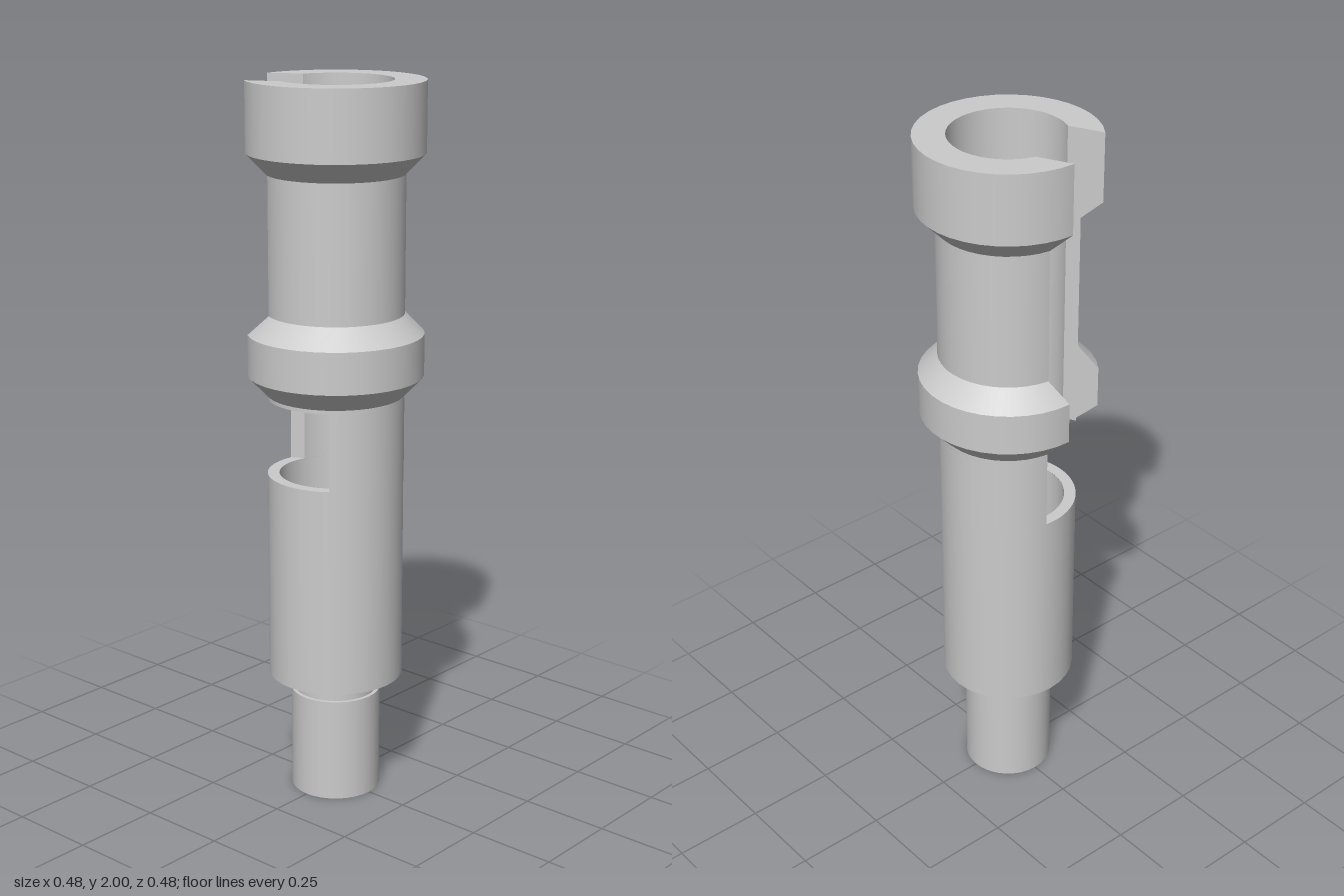
import * as THREE from 'three';
import { mergeGeometries } from 'three/addons/utils/BufferGeometryUtils.js';

const TAU = Math.PI * 2;
const BODY = 0.187, BORE = 0.155, COLLAR = 0.24, HOLE = 0.08;
const LEDGE = 0.93, CEILING = 1.145, FLOOR = 0.4;

// Angles (from +x towards +z) of the flat cut walls, as functions of radius
const SLOT = Math.atan2(0.435, -0.9);
const slotBack = r => SLOT + Math.asin(0.1 / r);
const slotFront = r => SLOT - Math.asin(0.1 / r);
const windowEnd = r => Math.acos(0.109 / r);
const turn = f => r => f(r) + TAU;

const at = (r, y, a) => [r * Math.cos(a), y, r * Math.sin(a)];

function buffer(pos, nor, index) {
  const g = new THREE.BufferGeometry();
  g.setAttribute('position', new THREE.Float32BufferAttribute(pos, 3));
  if (nor) g.setAttribute('normal', new THREE.Float32BufferAttribute(nor, 3));
  g.setIndex(index);
  if (!nor) g.computeVertexNormals();
  return g;
}

// Sweeps each profile edge between two angles; smooth around, sharp between edges
function sweep(profile, from, to, n = 32) {
  const strips = [];
  for (let k = 0; k + 1 < profile.length; k++) {
    const [p, q] = [profile[k], profile[k + 1]];
    const len = Math.hypot(q[0] - p[0], q[1] - p[1]);
    const nr = (q[1] - p[1]) / len, ny = (p[0] - q[0]) / len;
    const pos = [], nor = [], index = [];
    for (let j = 0; j <= n; j++) {
      for (const [r, y] of [p, q]) {
        const a = THREE.MathUtils.lerp(from(r), to(r), j / n);
        pos.push(...at(r, y, a));
        nor.push(...at(nr, ny, a));
      }
      const i = 2 * j;
      if (j < n) index.push(i, i + 1, i + 2, i + 1, i + 3, i + 2);
    }
    strips.push(buffer(pos, nor, index));
  }
  return mergeGeometries(strips);
}

// Flat wall with the outline of a profile, at one end of a sweep
function wall(profile, angle, flip) {
  const pos = profile.flatMap(([r, y]) => at(r, y, angle(r)));
  const outline = profile.map(p => new THREE.Vector2(...p));
  const faces = THREE.ShapeUtils.triangulateShape(outline, []);
  return buffer(pos, null, faces.flatMap(([a, b, c]) => (flip ? [a, c, b] : [a, b, c])));
}

export function createModel() {
  const group = new THREE.Group();
  const material = new THREE.MeshStandardMaterial({ color: 0xcccccc });
  const add = (name, ...parts) => {
    const mesh = new THREE.Mesh(mergeGeometries(parts), material);
    mesh.name = name;
    group.add(mesh);
  };
  const zero = () => 0, full = () => TAU;

  // Hollow stem, neck and lower sleeve
  add('stem', sweep([[HOLE, 0], [0.125, 0], [0.125, 0.295], [0.115, 0.295], [0.115, 0.345]], zero, full));
  add('lowerSleeve', sweep([[0.115, 0.345], [BODY, 0.345], [BODY, LEDGE]], zero, full));
  add('bore', sweep([[BORE, LEDGE], [BORE, FLOOR], [HOLE, FLOOR], [HOLE, 0]], zero, full));

  // Side window: remaining tube wall, its two ends, ledge and ceiling
  const ring = [[BORE, LEDGE], [BODY, LEDGE], [BODY, CEILING], [BORE, CEILING]];
  add('windowSleeve',
    sweep([ring[1], ring[2]], slotBack, turn(windowEnd)),
    sweep([ring[3], ring[0]], slotBack, turn(windowEnd)),
    wall(ring, slotBack, true),
    wall(ring, turn(windowEnd), false));
  add('windowLedge', sweep([ring[1], ring[0]], windowEnd, slotBack));
  add('windowCeiling', sweep([ring[3], ring[2]], windowEnd, slotFront));

  // Upper sleeve with two chamfered collars, split by the parallel slot
  const upper = [
    [BODY, CEILING], [BODY, 1.155], [COLLAR, 1.21], [COLLAR, 1.325], [BODY, 1.38],
    [BODY, 1.755], [COLLAR, 1.81], [COLLAR, 2], [BORE, 2], [BORE, CEILING],
  ];
  add('slottedUpperSleeve',
    sweep(upper, slotBack, turn(slotFront)),
    wall(upper, slotBack, true),
    wall(upper, turn(slotFront), false));
  return group;
}
